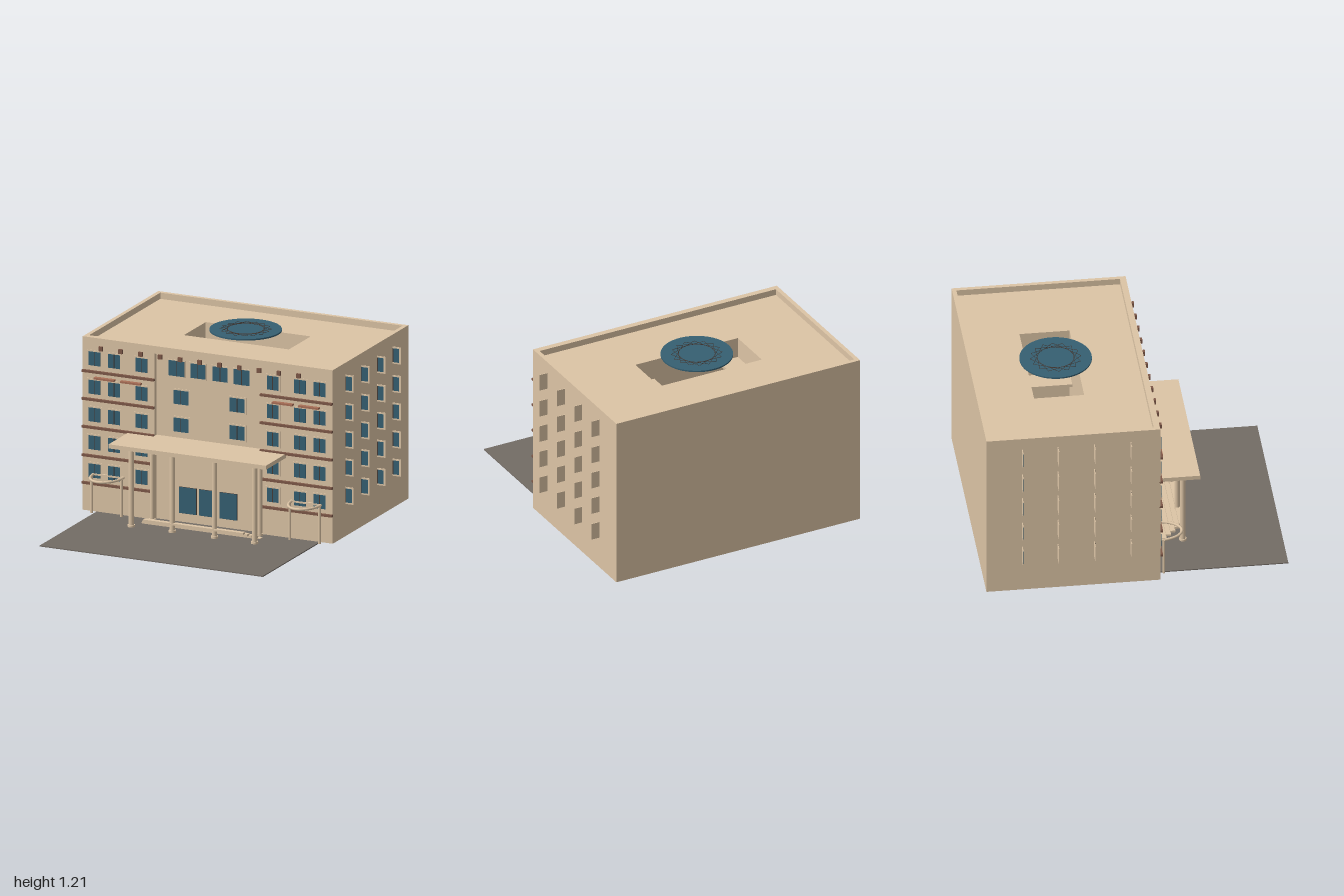
import * as THREE from 'three';

const mat = (name, color) => Object.assign(new THREE.MeshStandardMaterial({ color }), { name });

export function createModel() {
  const root = new THREE.Group();
  root.name = 'officeBuilding';
  const stone = mat('stone', 0xdcc4a5), glass = mat('glass', 0x355f72), brown = mat('brown', 0x7d5848);
  const clay = mat('clay', 0xa86e56), dark = mat('dark', 0x443b36), paving = mat('paving', 0x736c65);

  const add = (name, geo, material, x = 0, y = 0, z = 0, parent = root) => {
    const m = new THREE.Mesh(geo, material);
    m.name = name;
    m.position.set(x, y, z);
    parent.add(m);
    return m;
  };
  // Box given by its limits on each axis
  const box = (name, material, x0, x1, y0, y1, z0, z1, parent = root) =>
    add(name, new THREE.BoxGeometry(x1 - x0, y1 - y0, z1 - z0), material,
      (x0 + x1) / 2, (y0 + y1) / 2, (z0 + z1) / 2, parent);

  // Plan outlines run counter-clockwise in (x, -z) and are extruded upward
  const plan = (pts) => pts.map(([x, z]) => new THREE.Vector2(x, -z));
  const rect = (x, z0, z1) => [[-x, z1], [x, z1], [x, z0], [-x, z0]];
  const storey = (name, outline, hole, y0, y1) => {
    const shape = new THREE.Shape(plan(outline));
    shape.holes.push(new THREE.Path(plan(hole)));
    const geo = new THREE.ExtrudeGeometry(shape, { depth: y1 - y0, bevelEnabled: false });
    add(name, geo.rotateX(-Math.PI / 2), stone, 0, y0, 0);
  };

  // Walls with a shallow central recess, an open lobby below and an atrium above
  const F = 0.145, R = 0.115;
  const notched = [[-0.905, F], [-0.385, F], [-0.385, R], [0.385, R], [0.385, F], [0.905, F], [0.905, -1], [-0.905, -1]];
  const full = rect(0.905, -1, F), atrium = rect(0.38, -0.62, -0.29);
  storey('lowerWalls', notched, rect(0.38, -0.62, 0.08), 0.01, 0.57);
  storey('upperWalls', notched, atrium, 0.57, 1.14);
  storey('roof', full, atrium, 1.14, 1.15);
  storey('parapet', full, rect(0.877, -0.972, 0.105), 1.15, 1.192);
  for (const s of [-1, 1]) for (const y of [0.61, 0.8, 0.99])
    box('atriumGallery', stone, s * 0.31 - 0.07, s * 0.31 + 0.07, y, y + 0.02, -0.62, -0.29);

  // Window: stone frame, glass on the front, thin mullions
  const windowAt = (x, y, z, w, border = 0.011) => {
    const g = new THREE.Group(), h = 0.116;
    g.name = 'window';
    g.position.set(x, y, z);
    root.add(g);
    box('windowFrame', stone, -w / 2, w / 2, -h / 2, h / 2, -0.001, 0.003, g);
    const a = w / 2 - border, b = h / 2 - border;
    box('windowGlass', glass, -a, a, -b, b, 0.002, 0.005, g);
    box('mullion', dark, -0.0025, 0.0025, -b, b, 0.004, 0.006, g);
  };
  const rows = [0.288, 0.48, 0.67, 0.858, 1.052];
  for (const y of rows) for (const s of [-1, 1]) {
    for (const x of [0.475, 0.673, 0.815]) windowAt(s * x, y, F + 0.007, 0.106);
    // Fin windows standing out from the side walls
    for (const z of [-0.765, -0.53, -0.29, -0.05]) windowAt(s * 0.909, y, z, 0.11);
  }
  for (const s of [-1, 1]) {
    windowAt(s * 0.203, rows[2], R + 0.007, 0.13);
    windowAt(s * 0.203, rows[3], R + 0.007, 0.13);
    windowAt(s * 0.236, rows[4], R + 0.007, 0.126, 0.006);
    windowAt(s * 0.081, rows[4], R + 0.007, 0.126, 0.009);

    // String courses and window hoods on both wings
    for (const y of [0.2, 0.388, 0.582, 0.772, 0.962]) {
      const x = s * 0.645;
      box('stringCourse', brown, x - 0.26, x + 0.26, y - 0.008, y + 0.008, F - 0.005, 0.163);
    }
    for (const x of [0.55, 0.74])
      box('windowHood', clay, s * x - 0.073, s * x + 0.073, 0.917, 0.929, F, 0.174);
  }

  // Small brackets under the parapet
  for (let i = 0; i < 11; i++) {
    const x = -0.766 + i * 0.1432;
    box('bracket', brown, x - 0.014, x + 0.014, 1.113, 1.143, 0.155, 0.17);
  }

  // Entrance canopy and columns
  box('canopy', stone, -0.572, 0.567, 0.552, 0.58, R - 0.005, 0.45);
  const column = (x, z, r, h) => {
    add('columnShaft', new THREE.CylinderGeometry(r, r, h - 0.008, 20), stone, x, h / 2 + 0.004, z);
    for (const y of [0.015, h - 0.007])
      add('columnCollar', new THREE.CylinderGeometry(r * 1.35, r * 1.35, 0.014, 20), stone, x, y, z);
  };
  for (const x of [-0.455, -0.158, 0.147, 0.437]) column(x, 0.35, 0.018, 0.552);
  for (const s of [-1, 1]) column(s * 0.39, 0.17, 0.016, 0.552);

  // Entrance surround and doors
  box('entrancePanel', stone, -0.31, 0.31, 0.075, 0.472, R, R + 0.006);
  box('doorPanel', stone, -0.227, 0.227, 0.075, 0.53, R, R + 0.012);
  for (const x of [-0.152, -0.005, 0.142]) {
    box('doorFrame', dark, x - 0.064, x + 0.064, 0.073, 0.253, R + 0.01, R + 0.016);
    box('doorGlass', glass, x - 0.062, x + 0.062, 0.075, 0.251, R + 0.014, R + 0.02);
  }

  // Thin entrance treads
  for (let i = 0; i < 5; i++) {
    const w = 0.43 - i * 0.017, y = i * 0.015, z = 0.23 + i * 0.031;
    box('step', stone, -w, w, y, y + 0.013, z - 0.017, z + 0.017);
  }

  // Curved side porches on slim posts
  for (const s of [-1, 1]) {
    const pts = [];
    for (let i = 0; i <= 24; i++) {
      const a = Math.PI * i / 24;
      pts.push(new THREE.Vector3(s * 0.717 + 0.106 * Math.cos(a), 0, 0.155 + 0.155 * Math.sin(a)));
    }
    const arc = new THREE.TubeGeometry(new THREE.CatmullRomCurve3(pts), 40, 0.009, 8);
    add('porchRing', arc, stone, 0, 0.265, 0);
    box('porchBeam', stone, s * 0.717 - 0.115, s * 0.717 + 0.115, 0.26, 0.272, F, 0.16);
    for (const x of [0.609, 0.825])
      add('porchPost', new THREE.CylinderGeometry(0.009, 0.009, 0.255, 12), stone, s * x, 0.136, 0.178);
  }

  // Roof disc with a ring and a star of turned squares
  const cz = -0.43;
  add('roofDisc', new THREE.CylinderGeometry(0.237, 0.237, 0.01, 64), glass, 0, 1.199, cz);
  const ring = (name, r, sides, turn) =>
    add(name, new THREE.TorusGeometry(r, 0.002, 4, sides).rotateZ(turn).rotateX(-Math.PI / 2), dark, 0, 1.205, cz);
  ring('discRing', 0.12, 48, 0);
  for (let i = 0; i < 4; i++) ring('discStar', 0.168, 4, i * Math.PI / 8);

  // Forecourt
  box('forecourt', paving, -0.808, 0.808, 0.001, 0.008, 0.05, 1);
  return root;
}
